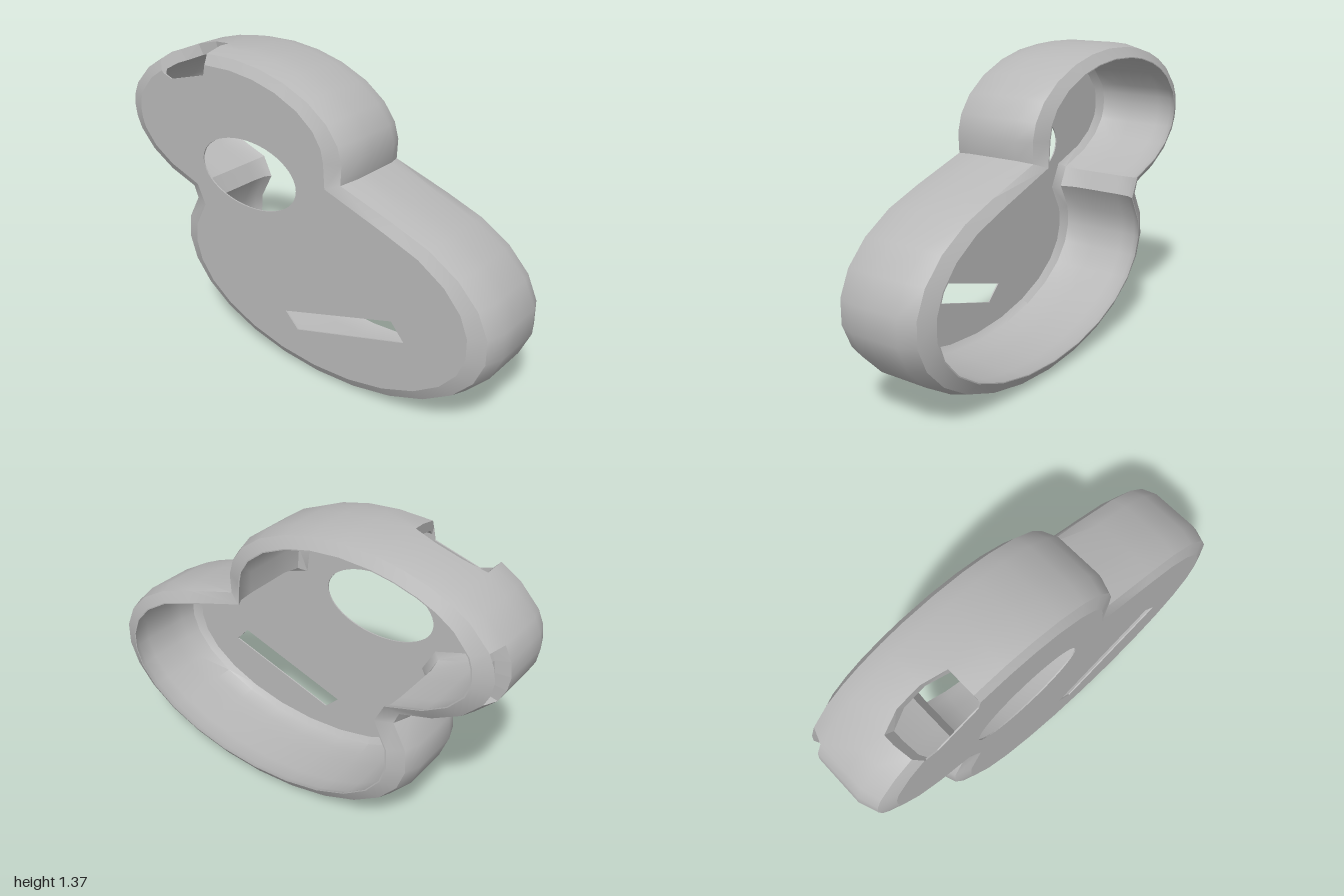
import * as THREE from 'three';
import { toCreasedNormals } from 'three/addons/utils/BufferGeometryUtils.js';

const UPPER = { x: -0.35, y: 1.02, rx: 0.65, ry: 0.355 };
const LOWER = { x: 0.165, y: 0.465, rx: 0.838, ry: 0.465 };

// Point on a lobe at an angle in degrees
function lobePoint(lobe, degrees) {
  const a = THREE.MathUtils.degToRad(degrees);
  return new THREE.Vector2(lobe.x + lobe.rx * Math.cos(a), lobe.y + lobe.ry * Math.sin(a));
}

const toPoints = (pairs) => pairs.map(([x, y]) => new THREE.Vector2(x, y));

// Outline: two overlapping ellipses, counter-clockwise from the right-hand waist
const upperAngles = [-10, 3, 16, 30, 45, 60, 73, 86, 100, 110, 121, 131,
  143, 160, 170, 180, 190, 200, 216, 232, 246];
const outline = upperAngles.map((a) => lobePoint(UPPER, a));
for (let a = 156; a <= 438; a += 14.1) outline.push(lobePoint(LOWER, a));
const N = outline.length;
const notchStart = upperAngles.indexOf(100), notchEnd = upperAngles.indexOf(131);
const pocketStart = upperAngles.indexOf(160), pocketEnd = upperAngles.indexOf(200);

// Moves the outline inwards, more at the long ends than above and below
function inset(d) {
  return outline.map((p, i) => {
    const before = outline[(i + N - 1) % N], after = outline[(i + 1) % N];
    const t1 = p.clone().sub(before).normalize();
    const t2 = after.clone().sub(p).normalize();
    const t = t1.add(t2).normalize();
    return new THREE.Vector2(p.x - t.y * d * 1.7, p.y + t.x * d);
  });
}

const ring = ([z, d]) => inset(d).map((p) => new THREE.Vector3(p.x, p.y, z));

// Wall sections from front to back, as [z, inset]
const outer = [[0.215, 0.06], [0.19, 0.017], [0.11, 0], [0.03, 0],
  [-0.12, 0], [-0.19, 0.017], [-0.22, 0.06]].map(ring);
const inner = [[0.209, 0.085], [0.185, 0.06], [0.11, 0.05], [0.03, 0.05],
  [-0.12, 0.05], [-0.19, 0.053], [-0.22, 0.064]].map(ring);
// Floor of the shallow pocket in the end of the upper lobe
const pocketFloor = [[-0.13, 0.036], [-0.185, 0.036]].map(ring);
const BANDS = outer.length - 1;
const POCKET_BAND = 4;

// Clipped rear corners of the notch
for (const rings of [outer, inner]) {
  rings[3][notchStart].z = rings[3][notchEnd].z = 0.06;
}

const isNotch = (i, k) => i >= notchStart && i < notchEnd && k < 3;
const isPocket = (i, k) => i >= pocketStart && i < pocketEnd && k === POCKET_BAND;

function quadGeometry(quads) {
  const points = quads.flatMap(([a, b, c, d]) => [a, b, c, a, c, d]);
  const geometry = new THREE.BufferGeometry().setFromPoints(points);
  geometry.computeVertexNormals();
  return geometry;
}

export function createModel() {
  const model = new THREE.Group();
  model.name = 'casing';
  const grey = new THREE.MeshStandardMaterial({ color: 0xb8b8b8, side: THREE.DoubleSide });
  grey.name = 'plain grey';

  function add(name, geometry) {
    const mesh = new THREE.Mesh(geometry, grey);
    mesh.name = name;
    model.add(mesh);
  }

  // Outer wall, inner wall, rear rim, notch edges and end pocket
  const outside = [], inside = [], rim = [], notchEdges = [], pocket = [];
  for (let i = 0; i < N; i++) {
    const j = (i + 1) % N;
    for (let k = 0; k < BANDS; k++) {
      const bridge = (i1, k1, i2, k2) => notchEdges.push(
        [outer[k1][i1], outer[k2][i2], inner[k2][i2], inner[k1][i1]]);
      if (isNotch(i, k)) {
        if (i === notchStart) bridge(i, k, i, k + 1);
        if (k === 2) bridge(i, k + 1, j, k + 1);
        if (j === notchEnd) bridge(j, k + 1, j, k);
        continue;
      }
      inside.push([inner[k][i], inner[k][j], inner[k + 1][j], inner[k + 1][i]]);
      if (!isPocket(i, k)) {
        outside.push([outer[k][i], outer[k + 1][i], outer[k + 1][j], outer[k][j]]);
        continue;
      }
      const [front, back] = pocketFloor;
      pocket.push([front[i], back[i], back[j], front[j]],
        [outer[k][j], outer[k][i], front[i], front[j]],
        [outer[k + 1][i], outer[k + 1][j], back[j], back[i]]);
      if (i === pocketStart) pocket.push([outer[k][i], outer[k + 1][i], back[i], front[i]]);
      if (j === pocketEnd) pocket.push([outer[k + 1][j], outer[k][j], front[j], back[j]]);
    }
    rim.push([outer[BANDS][i], inner[BANDS][i], inner[BANDS][j], outer[BANDS][j]]);
  }
  add('outerWall', toCreasedNormals(quadGeometry(outside), 0.7));
  add('innerWall', toCreasedNormals(quadGeometry(inside), 0.7));
  add('rearRim', quadGeometry(rim));
  add('notchEdges', quadGeometry(notchEdges));
  add('endPocket', quadGeometry(pocket));

  // Thin front plate with the notch bitten out of its edge
  const plateOutline = inset(0.06);
  plateOutline.splice(notchStart + 1, notchEnd - notchStart - 1,
    ...toPoints([[-0.465, 1.262], [-0.67, 1.206], [-0.725, 1.225]]));
  const plate = new THREE.Shape(plateOutline);

  // Oval window and slanted slot
  const oval = new THREE.Path();
  oval.absellipse(-0.22, 0.873, 0.273, 0.154, 0, Math.PI * 2, true);
  const slot = new THREE.Path(
    toPoints([[-0.015, 0.275], [0.55, 0.45], [0.615, 0.375], [0.055, 0.205]]));
  plate.holes.push(oval, slot);
  const plateGeometry = new THREE.ExtrudeGeometry(plate,
    { depth: 0.006, bevelEnabled: false, curveSegments: 24 });
  add('frontPlate', plateGeometry.translate(0, 0, 0.209));
  return model;
}
